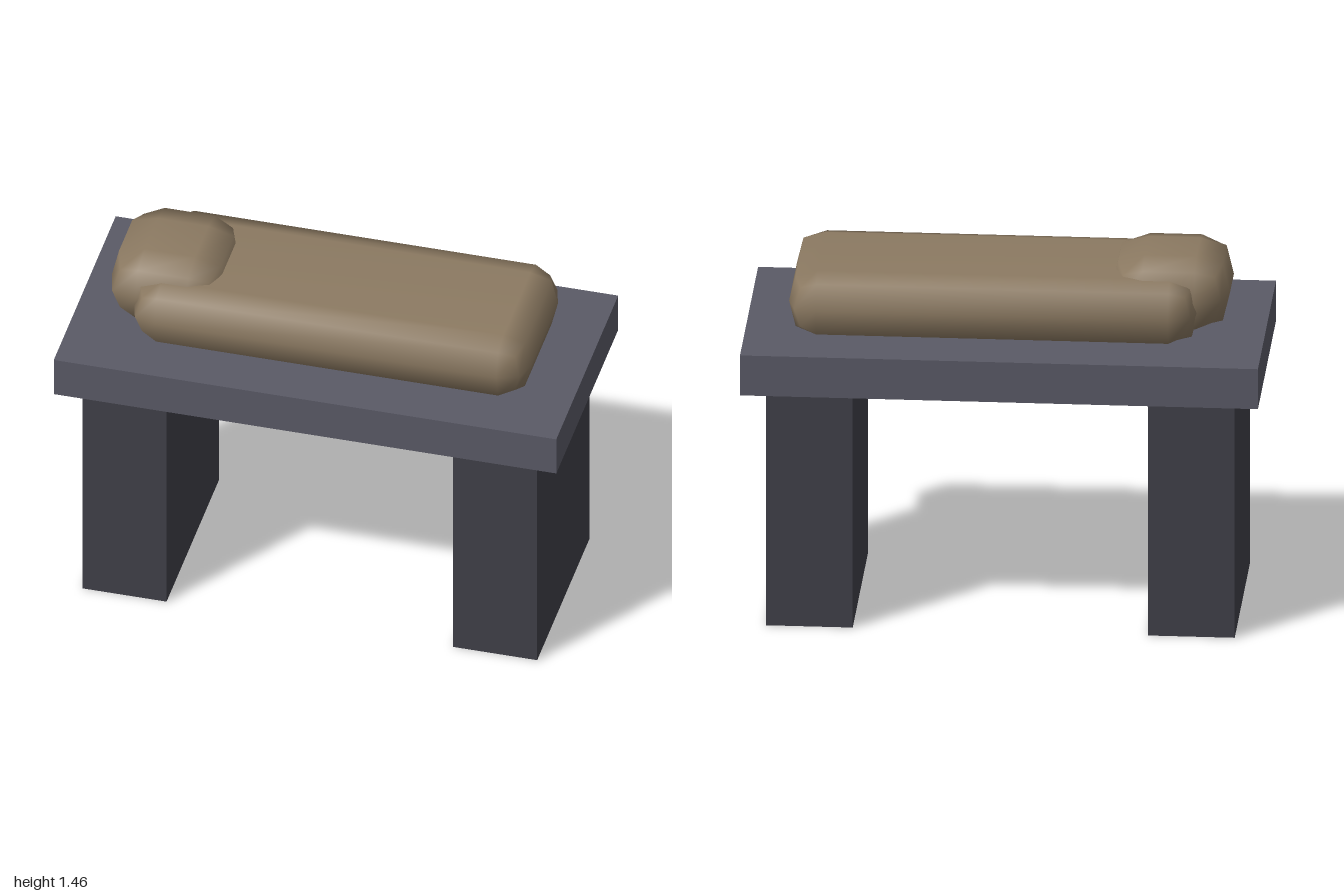
import * as THREE from 'three';
import { mergeVertices } from 'three/addons/utils/BufferGeometryUtils.js';

const stone = new THREE.MeshStandardMaterial({ color: 0x5a5a66 });
const darkStone = new THREE.MeshStandardMaterial({ color: 0x404049 });
const cloth = new THREE.MeshStandardMaterial({ color: 0x8c7a62 });

function addMesh(group, name, geometry, material, x, y, z) {
  const mesh = new THREE.Mesh(geometry, material);
  mesh.name = name;
  mesh.position.set(x, y, z);
  group.add(mesh);
}

// Soft low-poly block: a coarse box whose edges and corners are pulled inwards.
// half = half sizes, flat = half sizes of the flat middle of the faces
function softBlock(half, flat, inset) {
  let geo = new THREE.BoxGeometry(2, 2, 2, 3, 2, 3);
  const pos = geo.attributes.position;
  for (let i = 0; i < pos.count; i++) {
    const p = [pos.getX(i), pos.getY(i), pos.getZ(i)];
    const extremes = p.filter((c) => Math.abs(c) > 0.9).length;
    const pull = [0, 0, inset, inset * 1.9][extremes];
    const q = p.map((c, k) => {
      if (Math.abs(c) > 0.9) return Math.sign(c) * (half[k] - pull);
      return Math.abs(c) < 0.1 ? 0 : Math.sign(c) * flat[k];
    });
    pos.setXYZ(i, ...q);
  }
  // Weld the six sides so that shading is smooth
  geo.deleteAttribute('uv');
  geo.deleteAttribute('normal');
  geo = mergeVertices(geo, 1e-4);
  geo.computeVertexNormals();
  return geo;
}

export function createModel() {
  const model = new THREE.Group();
  model.name = 'bench';

  // Table slab on two block legs
  addMesh(model, 'slab', new THREE.BoxGeometry(2, 0.165, 0.945), stone, 0, 1.0575, 0);
  for (const side of [-1, 1]) {
    addMesh(model, side > 0 ? 'leftLeg' : 'rightLeg',
      new THREE.BoxGeometry(0.335, 0.975, 0.8), darkStone, side * 0.7375, 0.4875, 0);
  }

  // Long padded body with a smaller, raised pillow at one end
  addMesh(model, 'paddedBody',
    softBlock([0.79, 0.128, 0.315], [0.68, 0, 0.205], 0.025), cloth, 0.04, 1.267, 0);
  addMesh(model, 'pillow',
    softBlock([0.23, 0.145, 0.235], [0.1, 0, 0.1], 0.028), cloth, -0.635, 1.31, 0);

  return model;
}
